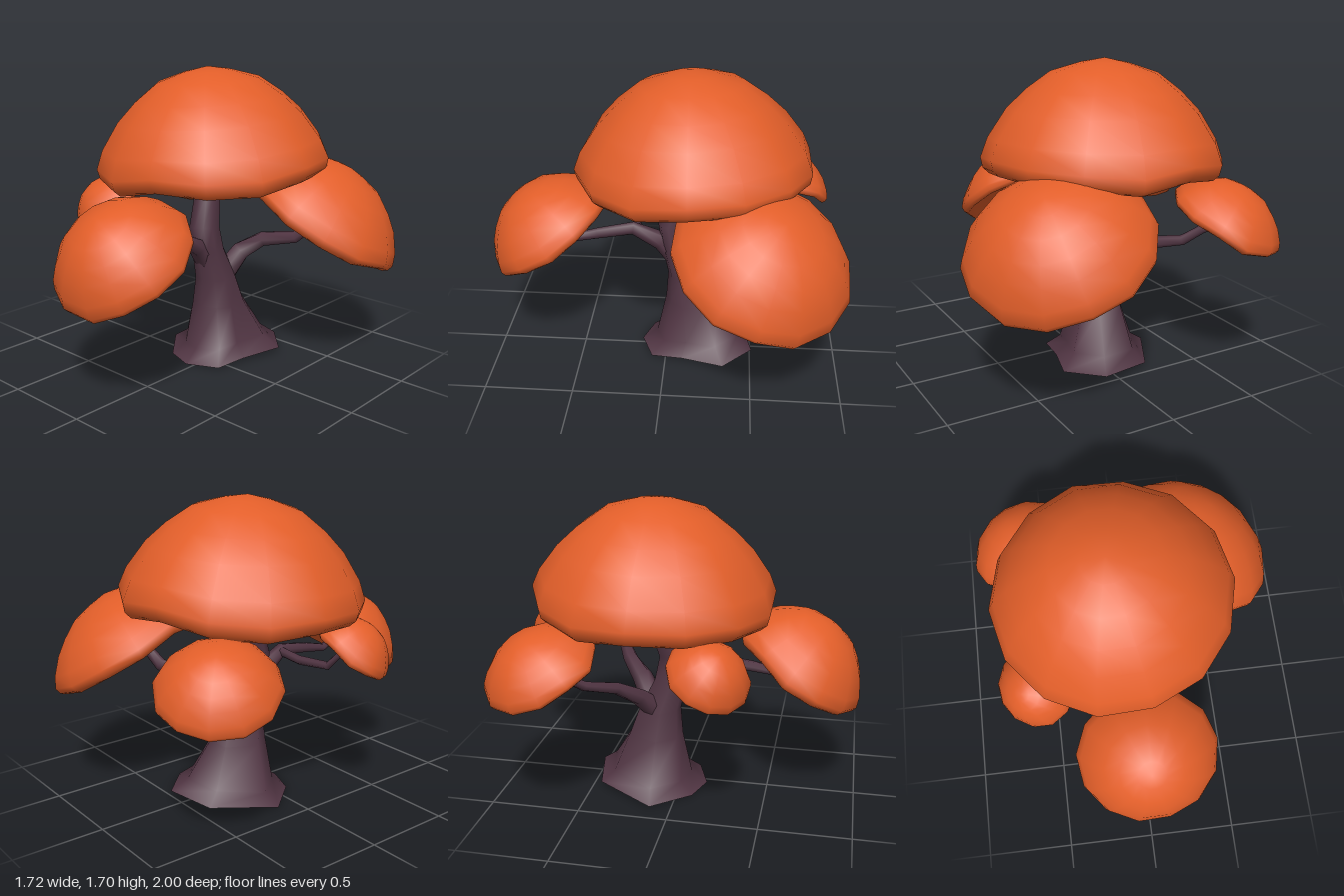
import * as THREE from 'three';
import { mergeVertices } from 'three/addons/utils/BufferGeometryUtils.js';

const V = (x, y, z) => new THREE.Vector3(x, y, z);

// Skin a list of equally sized point rings; the start is left open, the end is capped
function loft(rings) {
  const n = rings[0].length, pos = [], idx = [];
  const push = p => pos.push(p.x, p.y, p.z) / 3 - 1;
  rings.forEach(ring => ring.forEach(push));
  for (let r = 0; r < rings.length - 1; r++) {
    for (let i = 0; i < n; i++) {
      const a = r * n + i, b = r * n + (i + 1) % n;
      idx.push(a, b, b + n, a, b + n, a + n);
    }
  }
  const last = rings[rings.length - 1];
  const c = push(last.reduce((s, p) => s.add(p), V(0, 0, 0)).divideScalar(n));
  last.forEach(push);
  for (let i = 0; i < n; i++) idx.push(c, c + 1 + i, c + 1 + (i + 1) % n);
  const g = new THREE.BufferGeometry();
  g.setAttribute('position', new THREE.Float32BufferAttribute(pos, 3));
  g.setIndex(idx);
  g.computeVertexNormals();
  return g;
}

// Flared, uneven hollow foot that rises into a round leaning stem
function trunkGeometry() {
  const foot = [[.26, -.34], [.09, -.51], [-.2, -.45], [-.39, -.12], [-.21, .09], [-.04, .15], [.15, .08], [.18, -.1]];
  const cx = -.06, cz = -.18;
  const base = foot.map(([x, z]) => V(x, Math.max(0, .012 + .03 * x - .05 * z), z));
  const flare = foot.map(([x, z]) => V(cx + (x - cx) * .73, .08 + .05 * x - .05 * z, cz + (z - cz) * .73));
  // y, x, z, radius
  const stem = [[.32, -.06, -.15, .158], [.48, -.06, -.125, .122], [.66, -.06, -.06, .095],
    [.8, -.065, -.035, .09], [.98, -.1, -.1, .077], [1.2, -.11, -.12, .068]];
  const rings = stem.map(([y, x, z, r]) => foot.map(([fx, fz]) => {
    const a = Math.atan2(fz - cz, fx - cx);
    return V(x + r * Math.cos(a), y, z + r * Math.sin(a));
  }));
  return loft([base, flare, ...rings]);
}

// Tapered limb through points [x, y, z, radius]
function branchGeometry(path, sides = 6) {
  const pts = path.map(p => V(p[0], p[1], p[2]));
  const up = V(0, 1, 0);
  return loft(pts.map((p, k) => {
    const dir = pts[Math.min(k + 1, pts.length - 1)].clone().sub(pts[Math.max(k - 1, 0)]).normalize();
    const q = new THREE.Quaternion().setFromUnitVectors(up, dir);
    return Array.from({ length: sides }, (_, i) => {
      const a = i / sides * Math.PI * 2;
      return V(Math.cos(a), 0, -Math.sin(a)).multiplyScalar(path[k][3]).applyQuaternion(q).add(p);
    });
  }));
}

// Mushroom-like foliage dome with a shallow underside and a wavy rim
function canopyGeometry(radius, height, sides, phase) {
  const profile = [[0, .1], [.5, .09], [.84, .05], [.94, 0], [.99, .05], [1.01, .14],
    [.95, .31], [.8, .55], [.64, .72], [.44, .88], [.2, .96], [0, 1]];
  const lathe = new THREE.LatheGeometry(profile.map(([r, y]) => new THREE.Vector2(r * radius, y * height)), sides);
  lathe.deleteAttribute('uv');
  lathe.deleteAttribute('normal');
  lathe.rotateY(Math.PI / sides);
  const p = lathe.attributes.position;
  for (let i = 0; i < p.count; i++) {
    const x = p.getX(i), z = p.getZ(i), y = p.getY(i);
    const a = Math.atan2(x, z), r = Math.hypot(x, z) / radius;
    const wave = Math.sin(4 * a + phase) + .7 * Math.sin(6 * a - phase);
    const low = Math.max(0, 1 - y / height * 1.6) * r * r;
    p.setY(i, y + wave * low * radius * .03);
  }
  const g = mergeVertices(lathe, 1e-4);
  g.computeVertexNormals();
  return g;
}

export function createModel() {
  const group = new THREE.Group();
  const bark = new THREE.MeshStandardMaterial({ color: 0x513543, side: THREE.DoubleSide });
  bark.name = 'bark';
  const leaves = new THREE.MeshStandardMaterial({ color: 0xe25e29 });
  leaves.name = 'autumnLeaves';
  const add = (name, geometry, material) => {
    const mesh = new THREE.Mesh(geometry, material);
    mesh.name = name;
    group.add(mesh);
    return mesh;
  };

  add('trunk', trunkGeometry(), bark);

  // Limbs reaching out to each foliage dome
  const limbs = {
    frontBranch: [[-.06, .58, -.06, .07], [-.05, .69, .04, .055], [-.03, .775, .2, .037], [-.01, .745, .4, .031], [0, .715, .55, .024], [0, .745, .63, .016]],
    frontRightTwig: [[-.03, .77, .18, .028], [-.2, .75, .19, .027], [-.42, .77, .2, .023], [-.48, .84, .22, .018], [-.53, .91, .24, .012]],
    backLeftBranch: [[-.04, .46, -.15, .075], [.03, .62, -.25, .06], [.12, .69, -.34, .045], [.3, .72, -.42, .036], [.43, .83, -.46, .026]],
    backRightBranch: [[-.08, .46, -.13, .065], [-.18, .58, -.22, .05], [-.32, .68, -.31, .036], [-.42, .72, -.46, .029], [-.5, .79, -.53, .024], [-.58, .84, -.62, .016]],
  };
  for (const [name, path] of Object.entries(limbs)) add(name, branchGeometry(path), bark);

  // Domes: rim centre, radius, height, lean direction (x, z), lean in degrees, sides
  const domes = [
    ['topCanopy', [-.09, 1.085, -.145], .66, .615, [-.7, .7], 3.5, 14],
    ['backLeftCanopy', [.37, .795, -.515], .5, .385, [.78, -.62], 31, 14],
    ['frontCanopy', [.005, .745, .635], .39, .34, [0, 1], 35, 13],
    ['backRightCanopy', [-.555, .835, -.64], .315, .24, [-.75, -.66], 28, 12],
    ['frontRightCanopy', [-.555, .865, .225], .225, .2, [-.7, .71], 36, 12],
  ];
  domes.forEach(([name, centre, radius, height, [dx, dz], lean, sides], i) => {
    const dome = add(name, canopyGeometry(radius, height, sides, i * 1.7 + .4), leaves);
    dome.position.set(...centre);
    // Tip the dome's axis toward its lean direction
    dome.quaternion.setFromAxisAngle(V(dz, 0, -dx).normalize(), lean * Math.PI / 180);
  });
  return group;
}
